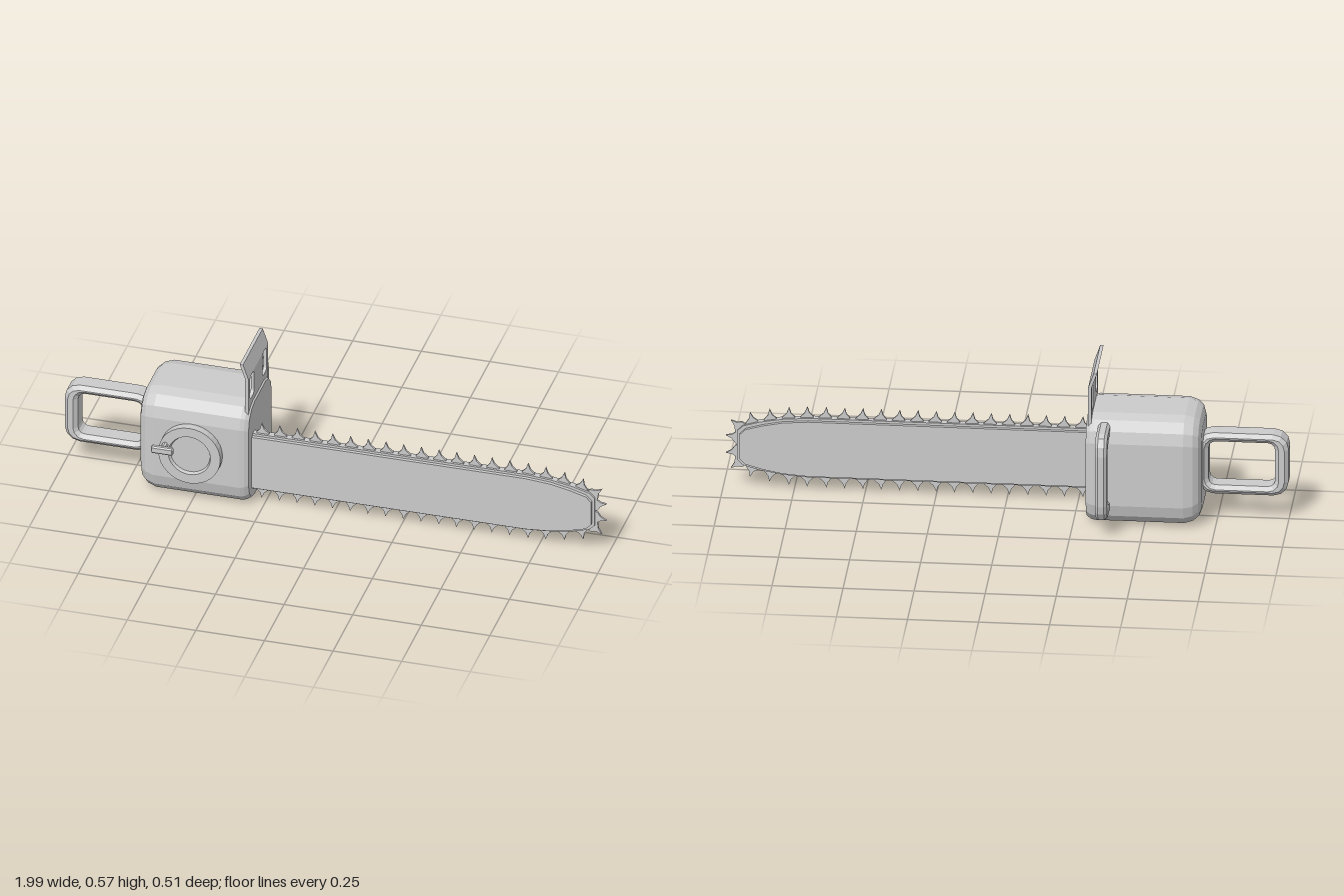
import * as THREE from 'three';

const grey = new THREE.MeshStandardMaterial({ color: 0xcccccc, flatShading: true, side: THREE.DoubleSide });

function add(group, name, geometry) {
  const mesh = new THREE.Mesh(geometry, grey);
  mesh.name = name;
  group.add(mesh);
  return mesh;
}

// Rounded rectangle as a list of points, counter-clockwise
function roundedRect(cx, cy, hw, hh, r, steps = 3) {
  const pts = [];
  for (let c = 0; c < 4; c++) {
    const sx = c === 0 || c === 3 ? 1 : -1, sy = c < 2 ? 1 : -1;
    for (let i = 0; i <= steps; i++) {
      const a = (c + i / steps) * Math.PI / 2;
      pts.push(new THREE.Vector2(cx + sx * (hw - r) + r * Math.cos(a), cy + sy * (hh - r) + r * Math.sin(a)));
    }
  }
  return pts;
}

function extrude(points, holes, depth, bevel = 0) {
  const shape = new THREE.Shape(points);
  holes.forEach(h => shape.holes.push(new THREE.Path(h)));
  return new THREE.ExtrudeGeometry(shape, {
    depth: depth - 2 * bevel, bevelEnabled: bevel > 0, bevelSegments: 1,
    bevelSize: bevel, bevelThickness: bevel, bevelOffset: -bevel,
  }).translate(0, 0, bevel - depth / 2);
}

// Turns a shape drawn in (z, y) so that its depth runs along x
const faceSide = (geometry, x) => geometry.rotateY(-Math.PI / 2).translate(x, 0, 0);

// Loft of rounded rectangles along x; each section is [x, inset]
function loftBody(sections) {
  const pos = [], index = [];
  sections.forEach(([x, inset]) => {
    roundedRect(0.02, 0.205, 0.16 - inset, 0.203 - inset, 0.085 - inset * 0.5)
      .forEach(p => pos.push(x, p.y, p.x));
  });
  const n = 16, last = (sections.length - 1) * n;
  for (let s = 0; s < sections.length - 1; s++) {
    for (let j = 0; j < n; j++) {
      const a = s * n + j, d = s * n + (j + 1) % n;
      index.push(a, a + n, d, d, a + n, d + n);
    }
  }
  for (let j = 1; j < n - 1; j++) {
    index.push(0, j, j + 1, last, last + j + 1, last + j);
  }
  const g = new THREE.BufferGeometry();
  g.setAttribute('position', new THREE.Float32BufferAttribute(pos, 3));
  g.setIndex(index);
  g.computeVertexNormals();
  return g;
}

// Upper outline of the guide bar, mirrored about its centre line
const BAR_Y = 0.165;
const barTop = [[-0.32, 0.113], [0.70, 0.113], [0.79, 0.106], [0.87, 0.092], [0.93, 0.075], [0.95, 0.055]];
function barOutline(shrink) {
  const half = barTop.map(([x, h]) => [x - (x > 0.8 ? shrink : 0), h - shrink]);
  return [...half.map(([x, h]) => new THREE.Vector2(x, BAR_Y - h)),
    ...half.reverse().map(([x, h]) => new THREE.Vector2(x, BAR_Y + h))];
}

export function createModel() {
  const model = new THREE.Group();
  model.name = 'chainsaw';

  // Motor housing, rounder at the rear than at the front
  add(model, 'motorHousing', loftBody([
    [-0.70, 0.05], [-0.69, 0.024], [-0.672, 0.009], [-0.64, 0],
    [-0.325, 0], [-0.31, 0.004], [-0.296, 0.013],
  ]));

  // Rear handle: bevelled closed loop
  add(model, 'rearHandle', extrude(
    roundedRect(-0.84, 0.21, 0.16, 0.116, 0.055),
    [roundedRect(-0.835, 0.21, 0.117, 0.083, 0.025)], 0.086, 0.014).translate(0, 0, 0.017));

  // Side handle: C-shaped grip on the far side
  const grip = [
    [-0.09, 0.062], [-0.205, 0.062], [-0.23, 0.072], [-0.248, 0.1], [-0.254, 0.13],
    [-0.254, 0.32], [-0.248, 0.355], [-0.23, 0.381], [-0.205, 0.39], [-0.09, 0.39],
    [-0.09, 0.345], [-0.14, 0.345], [-0.17, 0.34], [-0.195, 0.328], [-0.212, 0.3],
    [-0.212, 0.152], [-0.2, 0.13], [-0.16, 0.112], [-0.14, 0.108], [-0.09, 0.108],
  ].map(p => new THREE.Vector2(...p));
  add(model, 'sideHandle', faceSide(extrude(grip, [], 0.042, 0.01), -0.36));

  // Hand guard: slotted panel with its upper strip leaning back
  const guard = new THREE.Group();
  guard.name = 'handGuard';
  model.add(guard);
  const panel = [[-0.105, 0.34], [0.147, 0.34], [0.147, 0.518], [-0.105, 0.518]].map(p => new THREE.Vector2(...p));
  const slots = [-0.059, 0.101].map(z => roundedRect(z, 0.469, 0.026, 0.048, 0.016));
  add(guard, 'guardPanel', faceSide(extrude(panel, slots, 0.012), -0.308));
  const strip = new THREE.BoxGeometry(0.012, 0.057, 0.252).translate(-0.308, 0.5465, 0.021);
  const sp = strip.attributes.position;
  for (let i = 0; i < sp.count; i++) sp.setX(i, sp.getX(i) - (sp.getY(i) - 0.518) * 0.35);
  strip.computeVertexNormals();
  add(guard, 'guardLip', strip);

  // Starter cover with a recessed centre
  const cover = [[0.113, -0.02], [0.113, 0.03], [0.077, 0.03], [0.072, 0.018], [0, 0.018]]
    .map(p => new THREE.Vector2(...p));
  add(model, 'starterCover', new THREE.LatheGeometry(cover, 32).rotateX(Math.PI / 2).translate(-0.5, 0.207, 0.179));

  // Pull cord toggle
  const toggle = new THREE.Group();
  toggle.name = 'starterToggle';
  model.add(toggle);
  add(toggle, 'toggleStem', new THREE.CylinderGeometry(0.007, 0.013, 0.045, 8)
    .rotateX(Math.PI / 2).translate(-0.588, 0.237, 0.22));
  add(toggle, 'toggleBar', extrude(
    roundedRect(0.245, 0.237, 0.01, 0.014, 0.005, 1), [], 0.08, 0.004)
    .rotateY(-Math.PI / 2).translate(-0.588, 0, 0));

  // Guide bar: two outer plates around a slightly larger chain core
  add(model, 'chainCore', extrude(barOutline(0), [], 0.025).translate(0, 0, 0.102));
  for (const z of [0.083, 0.121]) {
    add(model, 'guidePlate', extrude(barOutline(0.009), [], 0.013).translate(0, 0, z));
  }

  // Chain teeth: thin spikes with hollow flanks following the bar edge
  const teeth = new THREE.Group();
  teeth.name = 'chainTeeth';
  model.add(teeth);
  const tooth = extrude([[-0.024, -0.01], [0.024, -0.01], [0.02, 0.004], [0.004, 0.018], [-0.006, 0.04],
    [-0.012, 0.018], [-0.024, 0.004]].map(p => new THREE.Vector2(...p)), [], 0.008);
  function addTooth(x, y, angle, flip) {
    const t = add(teeth, 'tooth', tooth);
    t.position.set(x, y, 0.102);
    t.rotation.z = angle;
    t.scale.x = flip;
  }
  for (const side of [1, -1]) {
    for (let i = 0; i < 19; i++) {
      const x = -0.26 + i * 0.0645;
      const k = Math.max(1, barTop.findIndex(p => p[0] >= x));
      const [x0, h0] = barTop[k - 1], [x1, h1] = barTop[k];
      const h = h0 + (h1 - h0) * (x - x0) / (x1 - x0);
      const slope = Math.atan2(h1 - h0, x1 - x0);
      addTooth(x, BAR_Y + side * h, side > 0 ? slope : Math.PI - slope, side);
    }
    // Teeth around the nose
    addTooth(0.944, BAR_Y + side * 0.064, -Math.PI / 2 + side * 0.6, side);
    addTooth(0.952, BAR_Y + side * 0.024, -Math.PI / 2 + side * 0.1, side);
  }
  return model;
}
